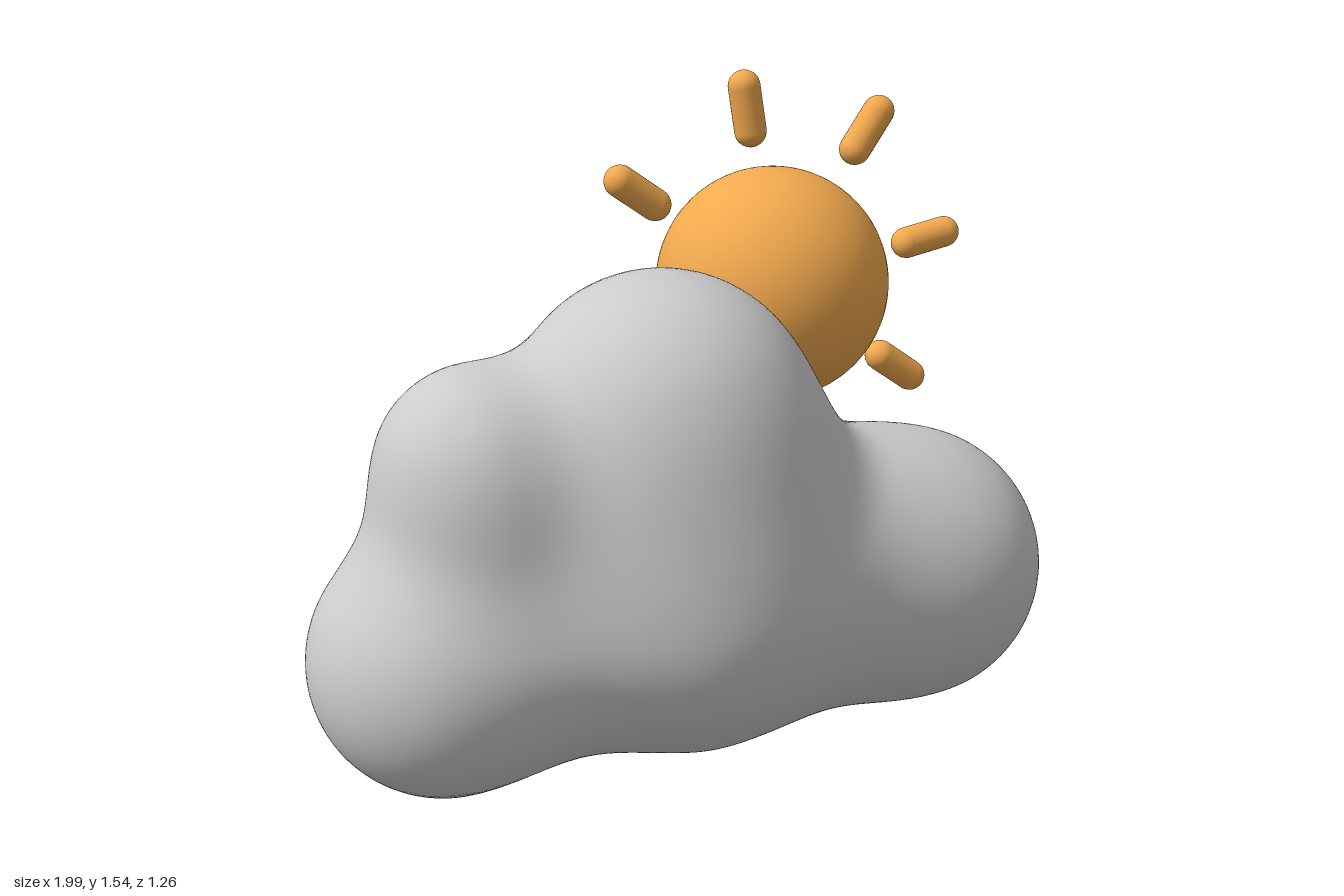
import * as THREE from 'three';
import { mergeVertices } from 'three/addons/utils/BufferGeometryUtils.js';

const CLOUD_Z = 0.19;

// Distance to a ball, and the smooth union of two distances
const ball = (p, x, y, r, z = CLOUD_Z) => Math.hypot(p.x - x, p.y - y, p.z - z) - r;
const blend = (a, b, k) => {
  const h = Math.max(k - Math.abs(a - b), 0) / k;
  return Math.min(a, b) - (h * h * k) / 4;
};

// Five puffs melted together: three along the base, two on top
function cloudDistance(p) {
  const middle = ball(p, -0.08, 0.44, 0.44);
  const left = ball(p, -0.68, 0.32, 0.32);
  const right = ball(p, 0.54, 0.355, 0.345);
  const base = blend(blend(middle, left, 0.3), right, 0.35);
  const crown = blend(ball(p, -0.13, 0.81, 0.37), ball(p, -0.57, 0.755, 0.255, 0.18), 0.13);
  return blend(base, crown, 0.2);
}

// Push every vertex of a sphere out along its ray to the cloud surface
function cloudGeometry() {
  let geo = new THREE.SphereGeometry(1, 160, 112);
  geo.deleteAttribute('uv');
  geo.deleteAttribute('normal');
  geo = mergeVertices(geo, 1e-5);
  const centre = new THREE.Vector3(-0.1, 0.48, CLOUD_Z);
  const stretch = new THREE.Vector3(0.95, 0.6, 0.45);
  const pos = geo.attributes.position;
  const dir = new THREE.Vector3();
  const p = new THREE.Vector3();
  for (let i = 0; i < pos.count; i++) {
    dir.fromBufferAttribute(pos, i).multiply(stretch).normalize();
    let near = 0;
    let far = 1.5;
    for (let n = 0; n < 26; n++) {
      const mid = (near + far) / 2;
      p.copy(centre).addScaledVector(dir, mid);
      if (cloudDistance(p) < 0) near = mid;
      else far = mid;
    }
    pos.setXYZ(i, p.x, p.y, p.z);
  }
  geo.computeVertexNormals();
  return geo;
}

export function createModel() {
  const model = new THREE.Group();
  model.name = 'sunBehindCloud';
  const grey = new THREE.MeshStandardMaterial({ color: 0xcccccc });
  const orange = new THREE.MeshStandardMaterial({ color: 0xf2a94e });

  const cloud = new THREE.Mesh(cloudGeometry(), grey);
  cloud.name = 'cloud';
  model.add(cloud);

  // Sun ball with eight rounded rays around it
  const sun = new THREE.Group();
  sun.name = 'sun';
  sun.position.set(0.425, 0.975, -0.325);
  const disc = new THREE.Mesh(new THREE.SphereGeometry(0.308, 64, 48), orange);
  disc.name = 'sunBall';
  sun.add(disc);

  const rayGeo = new THREE.CapsuleGeometry(0.042, 0.118, 10, 24);
  for (let i = 0; i < 8; i++) {
    const angle = THREE.MathUtils.degToRad(9.5 + 45 * i);
    const ray = new THREE.Mesh(rayGeo, orange);
    ray.name = 'sunRay' + (i + 1);
    ray.position.set(Math.cos(angle) * 0.475, Math.sin(angle) * 0.475, 0);
    ray.rotation.z = angle - Math.PI / 2;
    sun.add(ray);
  }
  model.add(sun);
  return model;
}
